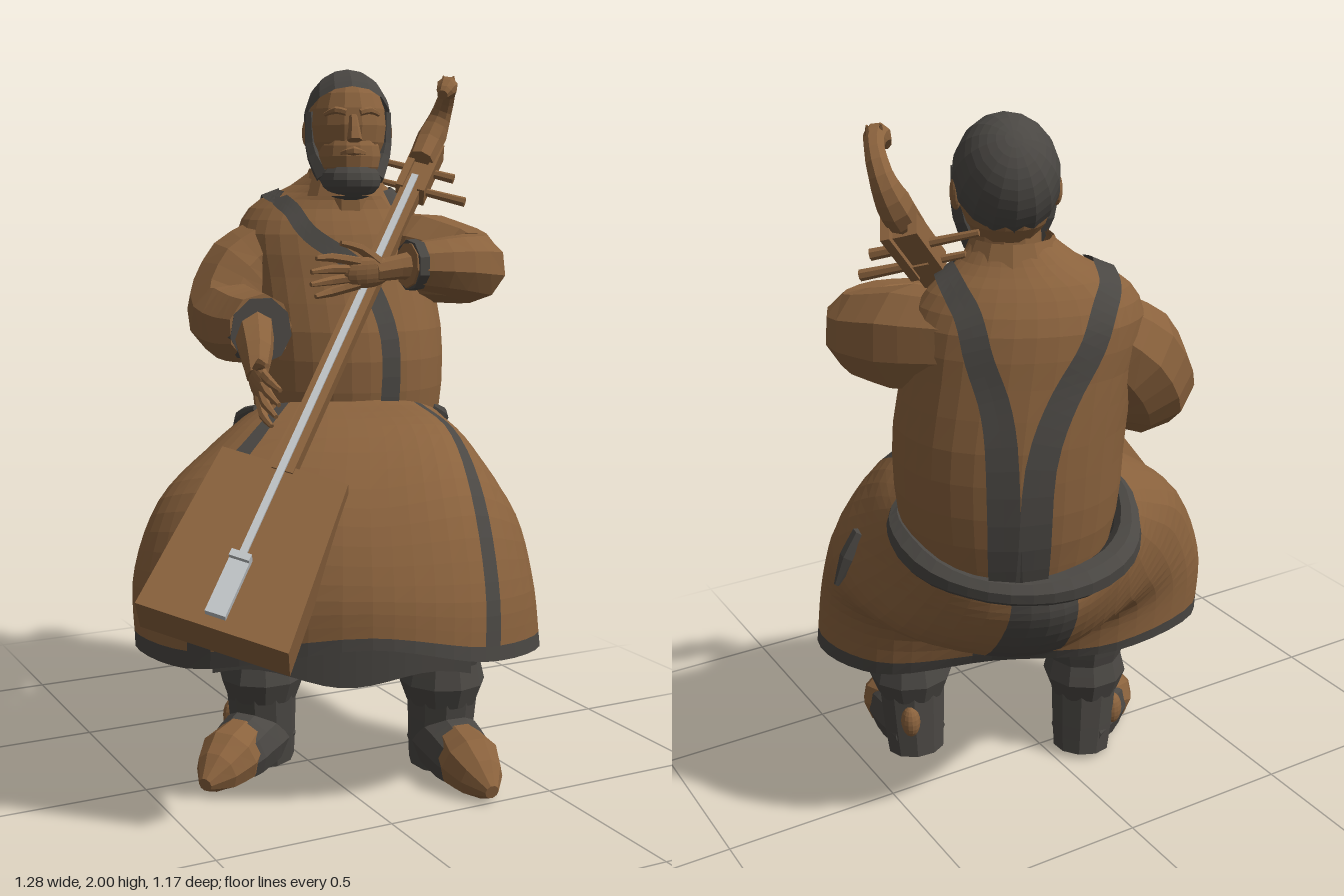
import * as THREE from 'three';

const V = (x, y, z) => new THREE.Vector3(x, y, z);
const mat = (name, color) => Object.assign(new THREE.MeshStandardMaterial({ color, side: THREE.DoubleSide }), { name });

export function createModel() {
  const root = new THREE.Group();
  const brown = mat('warm brown', 0x8a623d);
  const dark = mat('charcoal', 0x4a4743);
  const silver = mat('silver', 0xc0c4c7);

  function add(name, geo, material, parent = root) {
    const g = geo.index ? geo.toNonIndexed() : geo;
    g.computeVertexNormals();
    const m = new THREE.Mesh(g, material);
    m.name = name;
    parent.add(m);
    return m;
  }

  // faceted surface from a rule; pick(i, j) chooses the material of a cell
  function grid(fn, cols, rows, pick = () => 0) {
    const pos = [], idx = [[], []];
    for (let j = 0; j <= rows; j++)
      for (let i = 0; i <= cols; i++) pos.push(...fn(i / cols, j / rows).toArray());
    for (let j = 0; j < rows; j++)
      for (let i = 0; i < cols; i++) {
        const a = j * (cols + 1) + i, d = a + cols + 1;
        idx[pick(i, j)].push(a, a + 1, d + 1, a, d + 1, d);
      }
    const g = new THREE.BufferGeometry();
    g.setAttribute('position', new THREE.Float32BufferAttribute(pos, 3));
    g.setIndex([...idx[0], ...idx[1]]);
    g.addGroup(0, idx[0].length, 0);
    if (idx[1].length) g.addGroup(idx[0].length, idx[1].length, 1);
    return g;
  }

  // smooth surface through a stack of closed rings
  function loft(rings) {
    const curves = rings.map(r => new THREE.CatmullRomCurve3(r, true));
    return (u, v) => new THREE.CatmullRomCurve3(curves.map(c => c.getPoint(u % 1))).getPoint(v);
  }

  // capped tapering tube along a path
  function limb(name, pts, radii, material, sides = 10, rows = 8, parent = root, minY = -1) {
    const c = new THREE.CatmullRomCurve3(pts.map(p => V(...p)));
    const f = c.computeFrenetFrames(rows, false);
    const n = rows + 2;
    return add(name, grid((u, v) => {
      const k = Math.round(v * n), i = Math.min(Math.max(k - 1, 0), rows), t = i / rows;
      const s = t * (radii.length - 1), q = Math.min(Math.floor(s), radii.length - 2);
      const r = k === 0 || k === n ? 0 : THREE.MathUtils.lerp(radii[q], radii[q + 1], s - q);
      const a = u * Math.PI * 2;
      const p = c.getPoint(t).addScaledVector(f.normals[i], Math.cos(a) * r).addScaledVector(f.binormals[i], Math.sin(a) * r);
      p.y = Math.max(p.y, minY);
      return p;
    }, sides, n), material, parent);
  }

  function ball(name, p, s, material, parent = root) {
    const m = add(name, new THREE.SphereGeometry(1, 14, 10), material, parent);
    m.position.set(...p);
    m.scale.set(...s);
    return m;
  }

  function box(name, size, p, material, parent) {
    add(name, new THREE.BoxGeometry(...size), material, parent).position.set(...p);
  }

  // torso, turned towards its right: y, centre x, centre z, half width, half depth
  const yaw = -0.42;
  const torso = loft([
    [0.84, 0.28, -0.30, 0.25, 0.22], [1.0, 0.28, -0.30, 0.285, 0.26], [1.2, 0.28, -0.31, 0.295, 0.265],
    [1.38, 0.27, -0.345, 0.29, 0.22], [1.52, 0.26, -0.37, 0.285, 0.18], [1.6, 0.26, -0.375, 0.235, 0.13],
    [1.65, 0.27, -0.35, 0.15, 0.105], [1.7, 0.275, -0.325, 0.095, 0.09],
  ].map(([y, cx, cz, rx, rz]) => Array.from({ length: 8 }, (_, i) => {
    const a = i / 8 * Math.PI * 2;
    return V(Math.sin(a) * rx, 0, Math.cos(a) * rz).applyAxisAngle(V(0, 1, 0), yaw).add(V(cx, y, cz));
  })));
  add('robeTop', grid(torso, 32, 16), [brown]);

  // thin trim bands laid on the torso; path is in surface coordinates
  function band(name, path, startWidth, endWidth) {
    const c = new THREE.CatmullRomCurve3(path.map(([u, v]) => V(u, v, 0)));
    const at = (t, out = 0) => {
      const p = c.getPoint(Math.min(Math.max(t, 0), 1)), u = p.x + 1, e = 0.004;
      const o = torso(u, p.y);
      const n = torso(u + e, p.y).sub(o).cross(torso(u, p.y + e).sub(o)).normalize();
      return { p: o.addScaledVector(n, out), n };
    };
    add(name, grid((u, v) => {
      const { p, n } = at(v, 0.009);
      const t = at(v + 0.02).p.sub(at(v - 0.02).p);
      return p.addScaledVector(t.cross(n).normalize(), (u - 0.5) * THREE.MathUtils.lerp(startWidth, endWidth, v));
    }, 2, 30), [dark]);
  }
  band('frontTrim', [[0.06, 0.1], [0.06, 0.33], [0.03, 0.46], [-0.04, 0.56], [-0.08, 0.68], [-0.13, 0.75]], 0.06, 0.05);
  for (const s of [-1, 1])
    band('backTrim', [[s * 0.13, 0.75], [s * 0.27, 0.79], [s * 0.38, 0.68], [s * 0.43, 0.5], [s * 0.47, 0.33], [s * 0.48, 0.02]], 0.05, 0.085);

  // seated skirt: rings from hem to waist, starting between the knees and going round by the left
  const rings = [
    [[-0.06, 0.48, 0.5], [0.25, 0.42, 0.55], [0.57, 0.37, 0.33], [0.5, 0.36, 0.08], [0.2, 0.38, -0.06], [-0.14, 0.38, -0.2], [-0.48, 0.39, -0.12], [-0.43, 0.38, 0.14]],
    [[-0.05, 0.62, 0.48], [0.26, 0.6, 0.53], [0.55, 0.56, 0.32], [0.51, 0.55, 0.02], [0.22, 0.52, -0.14], [-0.12, 0.52, -0.24], [-0.48, 0.58, -0.13], [-0.42, 0.6, 0.14]],
    [[0.0, 0.82, 0.37], [0.28, 0.84, 0.42], [0.545, 0.72, 0.24], [0.56, 0.65, -0.2], [0.29, 0.6, -0.42], [0.0, 0.63, -0.39], [-0.4, 0.78, -0.14], [-0.34, 0.84, 0.07]],
    [[0.1, 0.99, 0.17], [0.34, 0.98, 0.2], [0.535, 0.87, 0.0], [0.54, 0.77, -0.31], [0.3, 0.76, -0.54], [0.05, 0.78, -0.48], [-0.2, 0.9, -0.25], [-0.17, 0.97, -0.02]],
    [[0.16, 1.04, -0.05], [0.37, 1.03, -0.06], [0.53, 0.96, -0.17], [0.51, 0.88, -0.39], [0.31, 0.85, -0.54], [0.07, 0.88, -0.51], [-0.04, 0.97, -0.35], [-0.01, 1.03, -0.17]],
  ].map(r => r.map(p => V(...p)));
  const skirt = loft(rings);
  add('robeSkirt', grid(skirt, 48, 18, (i, j) => (j === 0 || [6, 23, 24, 42].includes(i) || (j > 4 && [22, 25].includes(i)) ? 1 : 0)), [brown, dark]);
  add('robeLining', grid((u, v) => skirt(u, 0.03).lerp(V(0.08, 0.5, 0.1), 0.02 + 0.98 * v), 32, 4), [dark]);
  const drape = new THREE.CatmullRomCurve3([V(-0.36, 0, 0.15), V(-0.18, 0, 0.3), V(0.02, 0, 0.41), V(0.25, 0, 0.48)]);
  add('underRobe', grid((u, v) => drape.getPoint(u).setY(0.36 + 0.2 * v + 0.02 * Math.sin(u * 9)), 16, 3), [dark]);

  // sash, thick at the hips, with a hanging sheath
  const waist = new THREE.CatmullRomCurve3(rings[4], true);
  limb('sash', [9, 12, 14, 17, 20, 23, 26, 29, 32, 36, 39].map(i => waist.getPoint(i / 48).toArray()), [0.012, 0.035, 0.05, 0.035, 0.035, 0.045, 0.045, 0.03, 0.012], dark, 8, 26);
  limb('sheath', [[0.54, 0.83, 0.05], [0.575, 0.76, 0.06], [0.61, 0.68, 0.07]], [0.022, 0.025, 0.008], dark, 6, 4);

  // sleeves, cuffs and forearms
  limb('leftSleeve', [[0.41, 1.46, -0.34], [0.49, 1.44, -0.18], [0.535, 1.42, 0.01], [0.43, 1.43, 0.07], [0.275, 1.435, 0.07]], [0.12, 0.135, 0.105, 0.088, 0.064], brown, 9, 12);
  limb('leftCuff', [[0.31, 1.435, 0.07], [0.295, 1.435, 0.07], [0.28, 1.435, 0.07]], [0.074, 0.072], dark, 9, 2);
  limb('leftWrist', [[0.32, 1.435, 0.07], [0.25, 1.43, 0.065], [0.18, 1.42, 0.06]], [0.045, 0.035, 0.03], brown, 8, 4);
  limb('rightSleeve', [[0.12, 1.49, -0.42], [0.0, 1.39, -0.44], [-0.075, 1.28, -0.4], [-0.075, 1.25, -0.28], [-0.07, 1.25, -0.165]], [0.1, 0.13, 0.125, 0.115, 0.102], brown, 9, 12);
  limb('rightCuff', [[-0.07, 1.245, -0.19], [-0.07, 1.245, -0.175], [-0.07, 1.245, -0.16]], [0.1, 0.098], dark, 9, 2);
  limb('rightWrist', [[-0.08, 1.25, -0.2], [-0.11, 1.19, -0.11], [-0.14, 1.13, -0.04]], [0.065, 0.05, 0.03], brown, 8, 4);

  // hands with spread fingers
  function hand(name, base, dir, up) {
    const g = new THREE.Group();
    g.name = name;
    const x = V(...dir).normalize(), z = x.clone().cross(V(...up)).normalize();
    g.quaternion.setFromRotationMatrix(new THREE.Matrix4().makeBasis(x, z.clone().cross(x), z));
    g.position.set(...base);
    ball('palm', [0.03, 0, 0], [0.075, 0.045, 0.022], brown, g);
    for (let i = -1.5; i < 2; i++)
      limb('finger', [[0.06, i * 0.021, 0], [0.14, i * 0.033, 0.01], [0.215 - Math.abs(i) * 0.015, i * 0.036, 0]], [0.015, 0.013, 0.007], brown, 6, 4, g);
    limb('thumb', [[0, 0.025, 0], [0.05, 0.065, 0.015], [0.11, 0.085, 0.02]], [0.018, 0.015, 0.008], brown, 6, 4, g);
    root.add(g);
  }
  hand('leftHand', [0.19, 1.42, 0.06], [-1, -0.07, -0.03], [0, 1, 0.2]);
  hand('rightHand', [-0.14, 1.13, -0.04], [-0.12, -0.32, 0.9], [0.1, 1, 0.2]);

  // trousers and boots
  function leg(name, x, z, turn, patch) {
    const g = new THREE.Group();
    g.name = name;
    g.position.set(x, 0, z);
    g.rotation.y = turn;
    limb('trouser', [[0, 0.2, 0], [0, 0.28, 0], [0, 0.36, 0], [0, 0.46, 0]], [0.1, 0.122, 0.108, 0.125, 0.12], dark, 10, 8, g);
    limb('bootShaft', [[0, 0.01, -0.02], [0, 0.1, -0.01], [0, 0.22, 0]], [0.085, 0.093, 0.1], dark, 10, 4, g);
    limb('foot', [[0, 0.08, -0.06], [0, 0.085, 0.04], [0, 0.065, 0.14], [0, 0.045, 0.2]], [0.08, 0.098, 0.088, 0.06], dark, 10, 8, g, 0.006);
    limb('toeCap', [[0, 0.1, 0.1], [0, 0.07, 0.18], [0, 0.05, 0.25], [0, 0.035, 0.31]], [0.07, 0.088, 0.064, 0.02], brown, 10, 6, g, 0);
    ball('anklePatch', patch, [0.028, 0.05, 0.032], brown, g);
    root.add(g);
  }
  leg('leftLeg', 0.33, 0.2, -0.08, [0.04, 0.14, -0.085]);
  leg('rightLeg', -0.12, -0.06, -0.95, [-0.085, 0.13, 0.02]);

  // neck, collar and head
  add('neck', new THREE.CylinderGeometry(0.08, 0.09, 0.18, 10), brown).position.set(0.28, 1.67, -0.31);
  add('collar', new THREE.CylinderGeometry(0.1, 0.135, 0.08, 12, 1, true), brown).position.set(0.275, 1.665, -0.325);
  const head = new THREE.Group();
  head.name = 'head';
  head.position.set(0.28, 1.81, -0.3);
  head.rotation.y = -0.35;
  root.add(head);
  ball('skull', [0, 0.02, -0.01], [0.118, 0.158, 0.138], brown, head);
  ball('jaw', [0, -0.07, 0.035], [0.095, 0.1, 0.1], brown, head);
  const hair = add('hair', new THREE.SphereGeometry(1, 16, 10, 0, Math.PI * 2, 0, Math.PI * 0.52), dark, head);
  hair.scale.set(0.13, 0.157, 0.15);
  hair.position.set(0, 0.033, -0.014);
  hair.rotation.x = -0.78;
  ball('beard', [0, -0.138, 0.05], [0.094, 0.062, 0.1], dark, head);
  limb('nose', [[0, 0.045, 0.122], [0, 0.01, 0.14], [0, -0.025, 0.152]], [0.012, 0.017, 0.023], brown, 6, 4, head);
  limb('mouthRidge', [[-0.035, -0.062, 0.118], [0, -0.055, 0.132], [0.035, -0.062, 0.118]], [0.008, 0.014, 0.008], brown, 6, 4, head);
  for (const s of [-1, 1]) {
    ball('ear', [s * 0.122, 0, -0.015], [0.014, 0.04, 0.026], brown, head);
    limb('sideburn', [[s * 0.113, 0.06, 0.01], [s * 0.106, -0.05, 0.015], [s * 0.07, -0.13, 0.05]], [0.016, 0.024, 0.035], dark, 6, 5, head);
    limb('browRidge', [[s * 0.02, 0.055, 0.122], [s * 0.05, 0.062, 0.112], [s * 0.08, 0.05, 0.09]], [0.01, 0.011, 0.006], brown, 6, 4, head);
  }

  // fiddle, built flat and then leaned across the body
  const fiddle = new THREE.Group();
  fiddle.name = 'fiddle';
  const fy = V(0.598, 0.679, -0.426).normalize();
  const fz = V(0.735, -0.233, 0.637).cross(fy).normalize();
  fiddle.quaternion.setFromRotationMatrix(new THREE.Matrix4().makeBasis(fy.clone().cross(fz), fy, fz));
  fiddle.position.set(-0.487, 0.5825, 0.45);
  root.add(fiddle);
  const body = new THREE.Shape([[-0.205, 0], [0.205, 0], [0.178, 0.51], [-0.178, 0.51]].map(p => new THREE.Vector2(...p)));
  add('soundBox', new THREE.ExtrudeGeometry(body, { depth: 0.127, bevelEnabled: false }), brown, fiddle).position.z = -0.127;
  box('fiddleNeck', [0.06, 1.12, 0.05], [0, 1.05, -0.02], brown, fiddle);
  box('strings', [0.02, 1.46, 0.008], [0, 0.88, 0.016], silver, fiddle);
  for (const s of [-1, 1])
    box('pegBoxSide', [0.022, 0.2, 0.065], [s * 0.034, 1.66, -0.02], brown, fiddle);
  box('pegBoxSlot', [0.045, 0.18, 0.04], [0, 1.65, -0.02], brown, fiddle);
  box('bridge', [0.055, 0.17, 0.02], [0, 0.115, 0.012], silver, fiddle);
  box('bridgeTop', [0.055, 0.02, 0.035], [0, 0.2, 0.018], silver, fiddle);
  [1.59, 1.67].forEach((y, i) => {
    const peg = add('peg', new THREE.CylinderGeometry(0.009, 0.015, 0.27, 7), brown, fiddle);
    peg.rotation.z = Math.PI / 2;
    peg.position.set(i ? -0.03 : 0.03, y, -0.025);
  });

  // curled carved top of the fiddle
  limb('scroll', [[0.51, 1.73, -0.26], [0.57, 1.8, -0.3], [0.6, 1.87, -0.295], [0.59, 1.935, -0.24], [0.55, 1.945, -0.18], [0.52, 1.92, -0.155]], [0.04, 0.046, 0.032, 0.024, 0.033, 0.016], brown, 8, 14);
  for (const s of [-1, 1])
    limb('scrollEar', [[0.575 + s * 0.015, 1.945, -0.21], [0.577 + s * 0.017, 1.96, -0.215], [0.58 + s * 0.018, 1.98, -0.222]], [0.01, 0.003], brown, 5, 2);

  return root;
}
